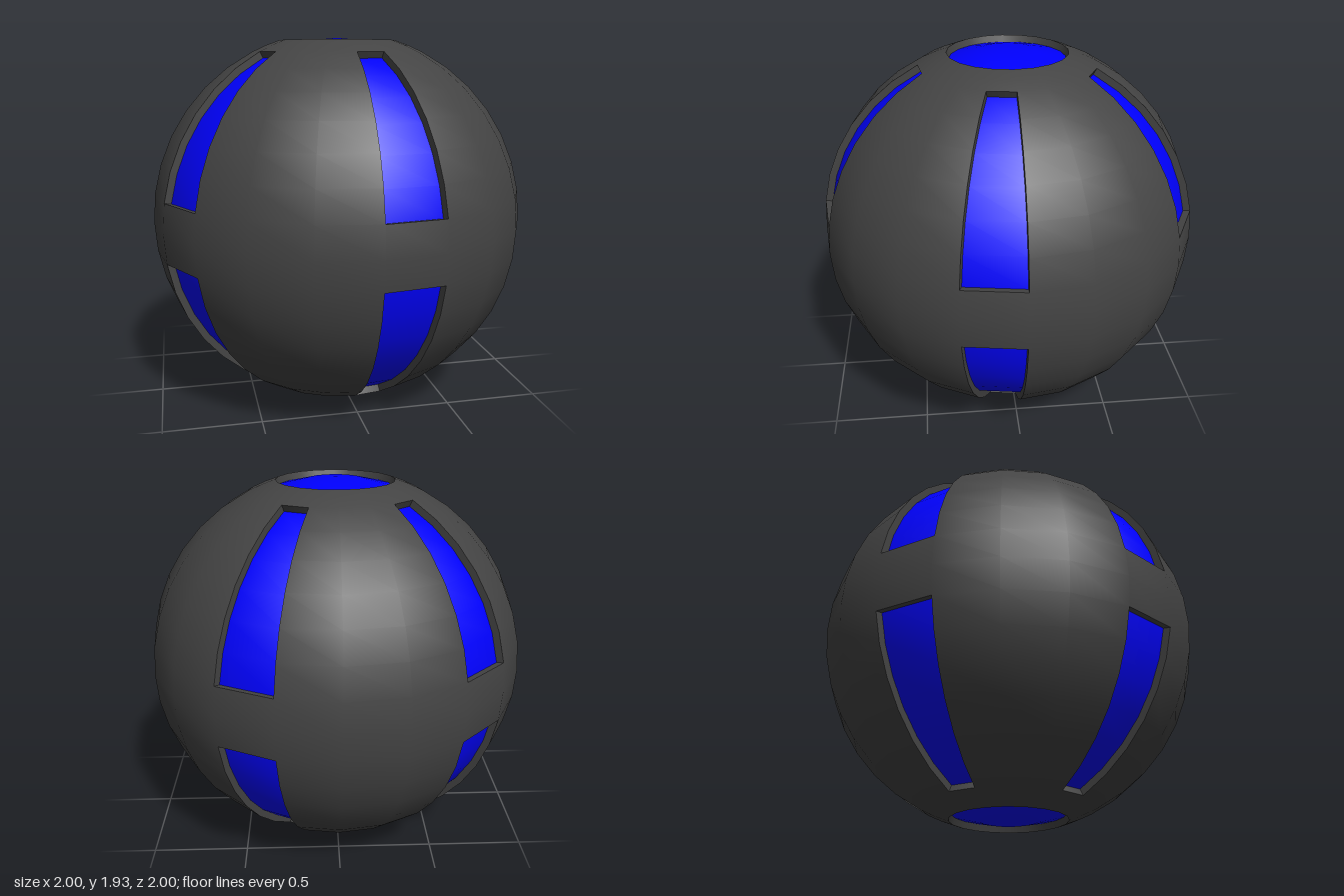
import * as THREE from 'three';
import { mergeGeometries } from 'three/addons/utils/BufferGeometryUtils.js';

const R = 1, CORE_R = 0.963; // shell and core radii
const rad = THREE.MathUtils.degToRad;

// Patch of the shell, 18 degrees per side around and 9 degrees per row (angles in degrees)
const patch = (phi, phiLen, theta, thetaLen) => new THREE.SphereGeometry(
  R, phiLen / 18, thetaLen / 9, rad(phi), rad(phiLen), rad(theta), rad(thetaLen));

// Wall from core to shell along a parallel, theta measured from the top pole
function parallelWall(theta, phi, phiLen) {
  const s = Math.sin(rad(theta)), c = Math.cos(rad(theta));
  const points = [CORE_R, R].map(r => new THREE.Vector2(r * s, r * c));
  return new THREE.LatheGeometry(points, phiLen / 18, rad(phi), rad(phiLen));
}

// Wall from core to shell along a meridian
const meridianWall = (azimuth, latitude) => new THREE.RingGeometry(
  CORE_R, R, 6, 1, rad(latitude), rad(54)).rotateY(-rad(azimuth));

export function createModel() {
  const group = new THREE.Group();
  const dark = new THREE.MeshStandardMaterial({ color: 0x444444 });
  const darkWall = new THREE.MeshStandardMaterial({ color: 0x444444, side: THREE.DoubleSide });
  const blue = new THREE.MeshStandardMaterial({ color: 0x0000ff });
  const add = (name, geometry, material) => {
    const mesh = new THREE.Mesh(geometry, material);
    mesh.name = name;
    mesh.position.y = CORE_R;
    group.add(mesh);
  };

  // Full bands around both pole openings and the equator
  const shell = [patch(0, 360, 18, 9), patch(0, 360, 81, 18), patch(0, 360, 153, 9)];
  const slotWalls = [];
  for (let i = 0; i < 5; i++) {
    const turn = i * 72;
    for (const theta of [27, 99]) {
      // Shell between neighbouring slots
      shell.push(patch(36 + turn, 54, theta, 54));
      // Four walls of each slot
      slotWalls.push(parallelWall(theta, turn, 18), parallelWall(theta + 54, turn, 18));
      const latitude = 36 - theta;
      slotWalls.push(meridianWall(turn, latitude), meridianWall(turn + 18, latitude));
    }
  }
  add('outerShell', mergeGeometries(shell), dark);
  add('slotWalls', mergeGeometries(slotWalls), darkWall);

  // Rims of the round openings at the poles
  add('topOpeningRim', parallelWall(18, 0, 360), darkWall);
  add('bottomOpeningRim', parallelWall(162, 0, 360), darkWall);

  // Core showing through the openings
  add('innerCore', new THREE.SphereGeometry(CORE_R, 20, 20), blue);
  return group;
}
